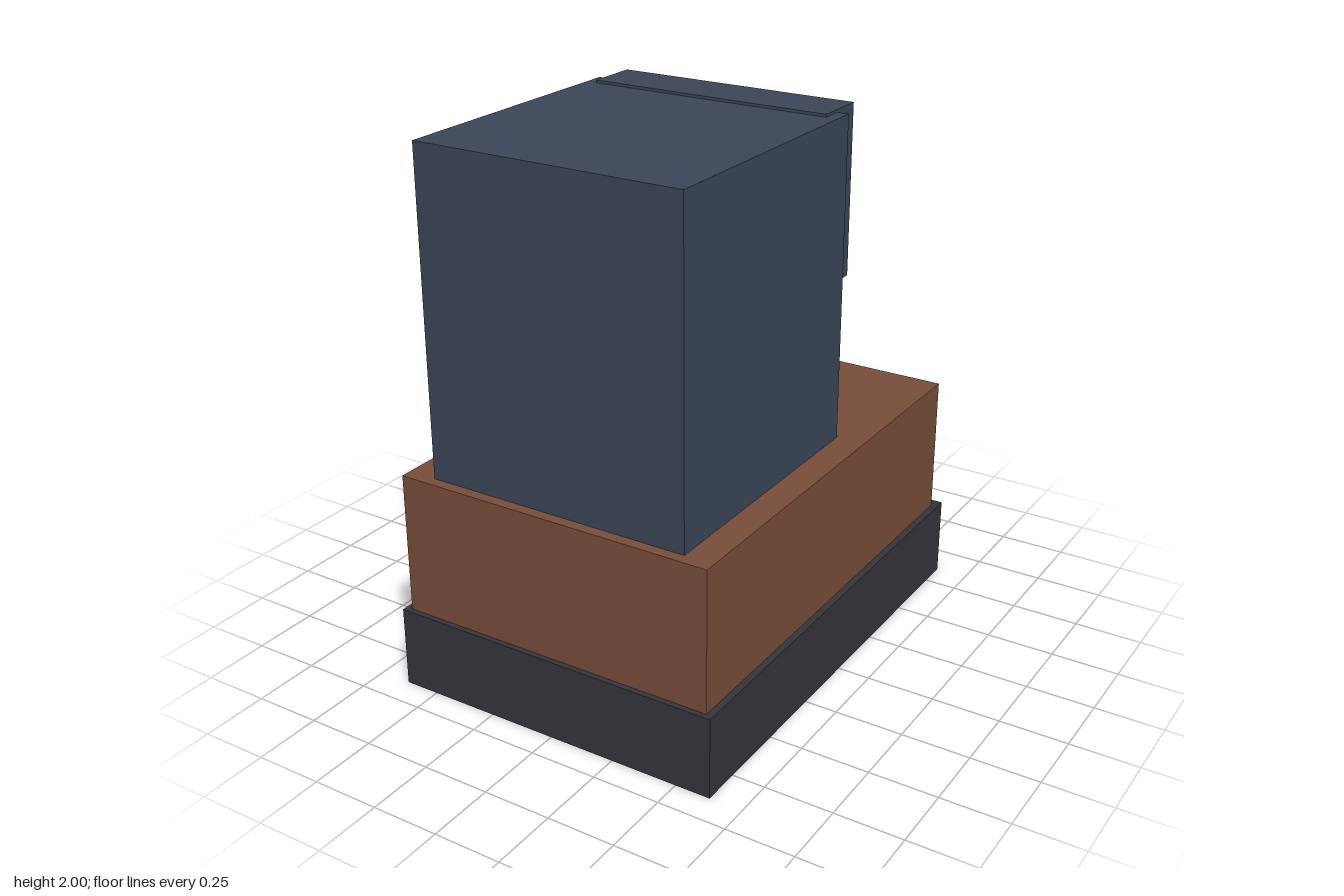
import * as THREE from 'three';

const material = (name, color) => {
  const m = new THREE.MeshStandardMaterial({ color });
  m.name = name;
  return m;
};

// Box given by its half width and its y and z ranges
function block(name, mat, halfWidth, [y0, y1], [z0, z1]) {
  const mesh = new THREE.Mesh(new THREE.BoxGeometry(halfWidth * 2, y1 - y0, z1 - z0), mat);
  mesh.position.set(0, (y0 + y1) / 2, (z0 + z1) / 2);
  mesh.name = name;
  return mesh;
}

export function createModel() {
  const charcoal = material('charcoal', 0x36353b);
  const brown = material('brown', 0x784e3a);
  const tan = material('tan', 0xa07044);
  const navy = material('navy', 0x3b4658);

  const model = new THREE.Group();
  model.name = 'steppedBlocks';
  model.add(
    // Wide slab at the bottom
    block('base', charcoal, 0.63, [0, 0.3], [-0.855, 0.895]),
    // Lower body and the panel on its back
    block('lowerBody', brown, 0.605, [0.3, 0.82], [-0.812, 0.875]),
    block('backPanel', tan, 0.552, [0.26, 0.747], [-0.893, -0.8]),
    // Tall upper body with a raised plate sunk into its back
    block('upperBody', navy, 0.498, [0.82, 1.99], [-0.178, 0.835]),
    block('upperBackPlate', navy, 0.457, [1.387, 2], [-0.293, -0.098]),
  );
  return model;
}
